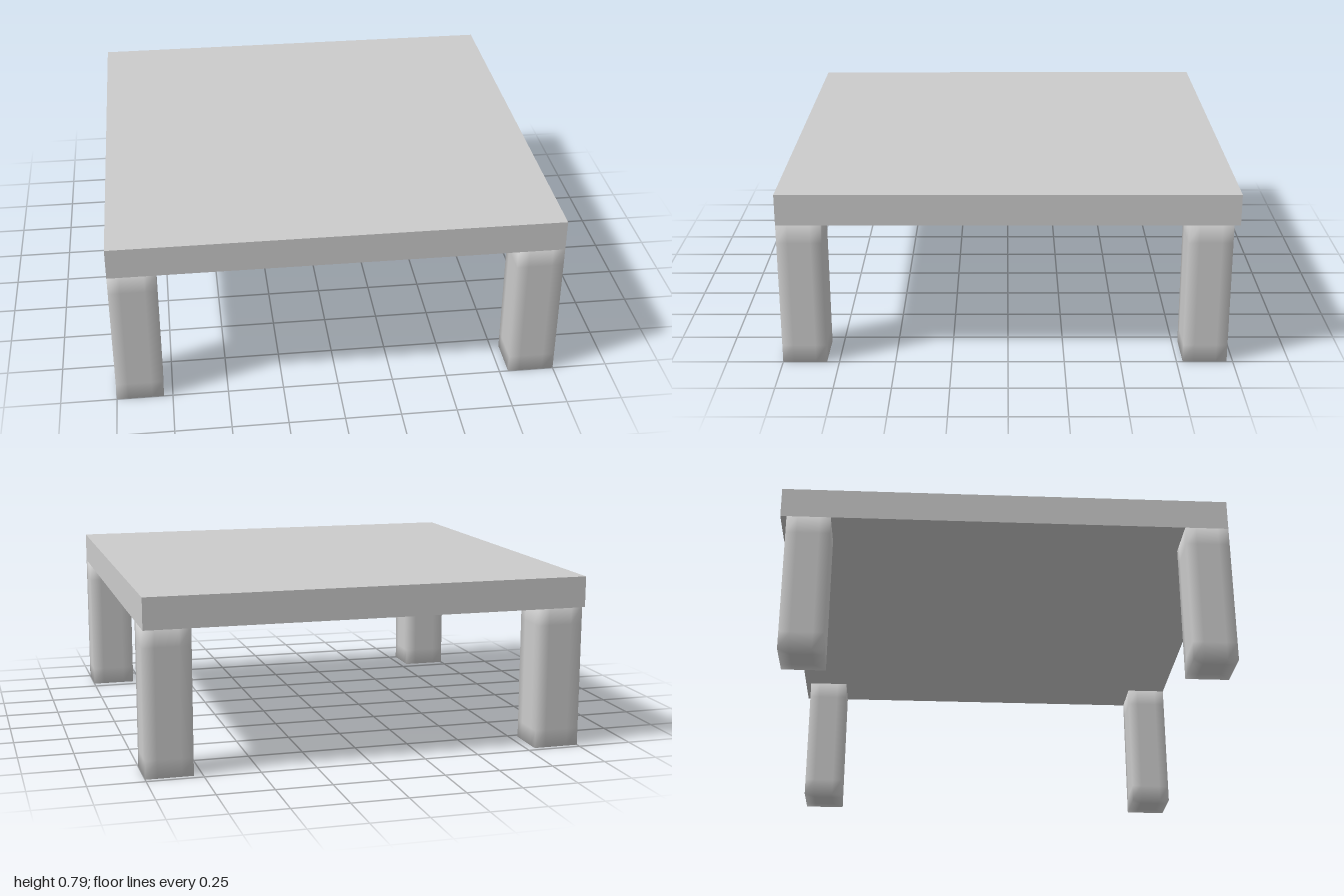
import * as THREE from 'three';
import { mergeVertices } from 'three/addons/utils/BufferGeometryUtils.js';

const material = new THREE.MeshStandardMaterial({ color: 0xcccccc });

function addPart(group, name, geometry, x, y, z) {
  const mesh = new THREE.Mesh(geometry, material);
  mesh.name = name;
  mesh.position.set(x, y, z);
  group.add(mesh);
}

// Box whose shading rolls softly around its edges
function softBox(w, h, d) {
  const box = new THREE.BoxGeometry(w, h, d, 4, 8, 4);
  box.deleteAttribute('normal');
  box.deleteAttribute('uv');
  const soft = mergeVertices(box);
  soft.computeVertexNormals();
  return soft;
}

export function createModel() {
  const table = new THREE.Group();
  table.name = 'lowTable';

  // Square top: two stacked boards meeting at a seam
  const board = new THREE.BoxGeometry(2, 0.07, 2);
  addPart(table, 'tableTop', board, 0, 0.755, 0);
  addPart(table, 'lowerBoard', board, 0, 0.685, 0);

  // Four corner legs; the back pair sits slightly in from the edge
  const leg = softBox(0.21, 0.65, 0.195);
  for (const [side, x] of [['Left', 0.895], ['Right', -0.895]]) {
    addPart(table, 'front' + side + 'Leg', leg, x, 0.325, 0.9025);
    addPart(table, 'back' + side + 'Leg', leg, x, 0.325, -0.875);
  }
  return table;
}
